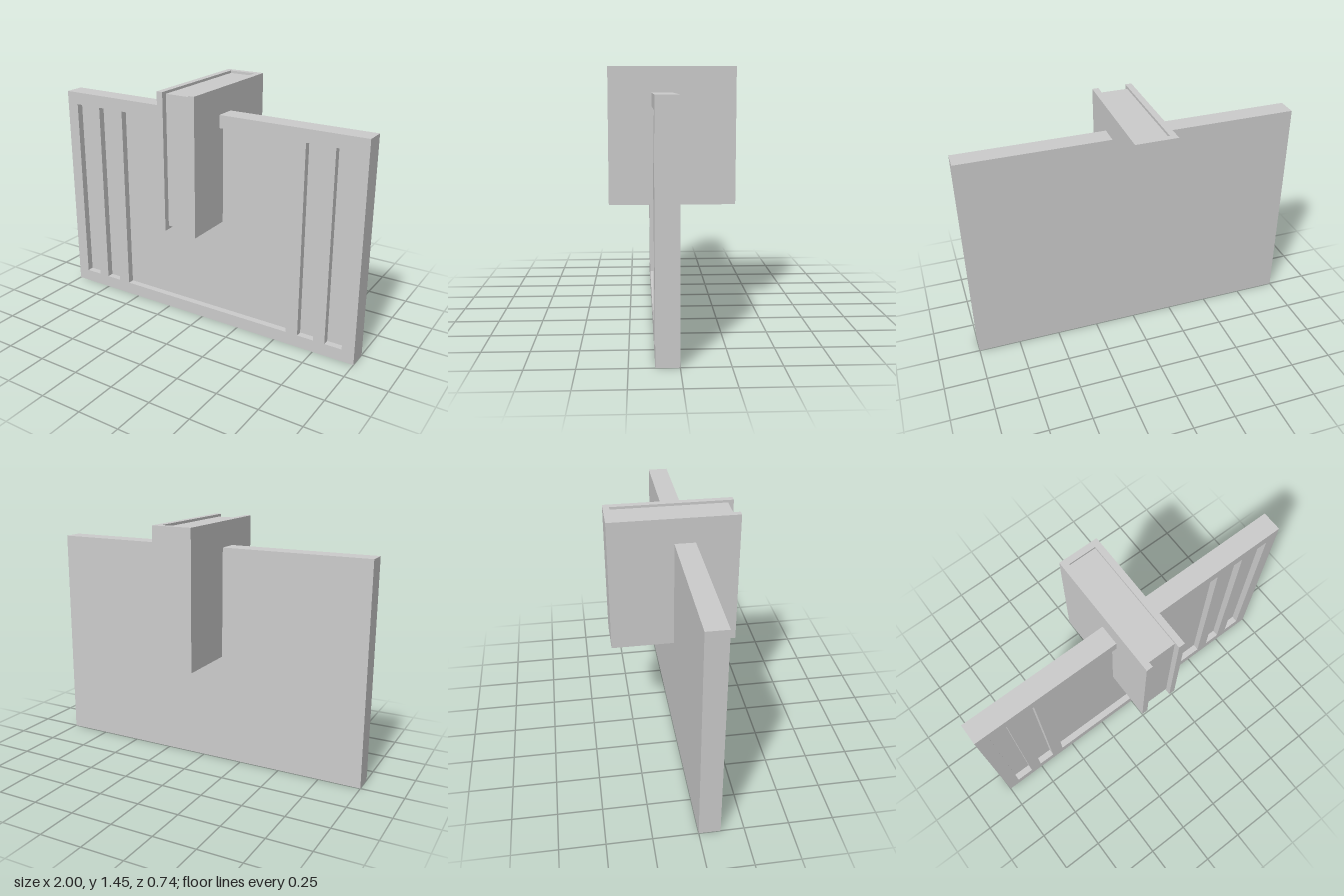
import * as THREE from 'three';

const material = new THREE.MeshStandardMaterial({ color: 0xcccccc, flatShading: true });

function add(parent, name, geometry) {
  const mesh = new THREE.Mesh(geometry, material);
  mesh.name = name;
  parent.add(mesh);
  return mesh;
}

// Box given by its lower and upper bounds on each axis
function boxBetween([x0, x1], [y0, y1], [z0, z1]) {
  return new THREE.BoxGeometry(x1 - x0, y1 - y0, z1 - z0)
    .translate((x0 + x1) / 2, (y0 + y1) / 2, (z0 + z1) / 2);
}

function polygon(points, Type = THREE.Shape) {
  const shape = new Type();
  points.forEach(([x, y], i) => (i ? shape.lineTo(x, y) : shape.moveTo(x, y)));
  shape.closePath();
  return shape;
}

const rect = (x0, x1, y0, y1, Type) =>
  polygon([[x0, y0], [x1, y0], [x1, y1], [x0, y1]], Type);

export function createModel() {
  const model = new THREE.Group();
  model.name = 'panelWithBracket';

  // Wide panel: solid back with a raised frame around five sunken fields
  const panel = new THREE.Group();
  panel.name = 'panel';
  model.add(panel);
  add(panel, 'panelBack', boxBetween([-1, 1], [0, 1.3], [0, 0.08]));

  const frame = rect(-1, 1, 0, 1.3);
  const fields = [[-0.925, -0.82], [-0.75, -0.65], [-0.575, 0.575], [0.65, 0.75], [0.82, 0.925]];
  for (const [x0, x1] of fields) frame.holes.push(rect(x0, x1, 0.075, 1.225, THREE.Path));
  add(panel, 'panelFrame',
    new THREE.ExtrudeGeometry(frame, { depth: 0.04, bevelEnabled: false }).translate(0, 0, 0.08));

  // Upright channel, open at the front, crossing the panel
  const bracket = new THREE.Group();
  bracket.name = 'bracket';
  model.add(bracket);
  const outer = 0.12, inner = 0.083, end = 0.37, back = 0.333;
  // Shape y becomes -z once the extrusion is turned upright
  const channel = polygon([
    [-outer, -end], [-inner, -end], [-inner, back], [inner, back],
    [inner, -end], [outer, -end], [outer, end], [-outer, end],
  ]);
  add(bracket, 'channel',
    new THREE.ExtrudeGeometry(channel, { depth: 0.8, bevelEnabled: false })
      .rotateX(-Math.PI / 2).translate(0, 0.65, 0));

  // Core set slightly inside the channel on its open sides
  add(bracket, 'core', boxBetween([-inner, inner], [0.67, 1.435], [-back, 0.337]));

  return model;
}
